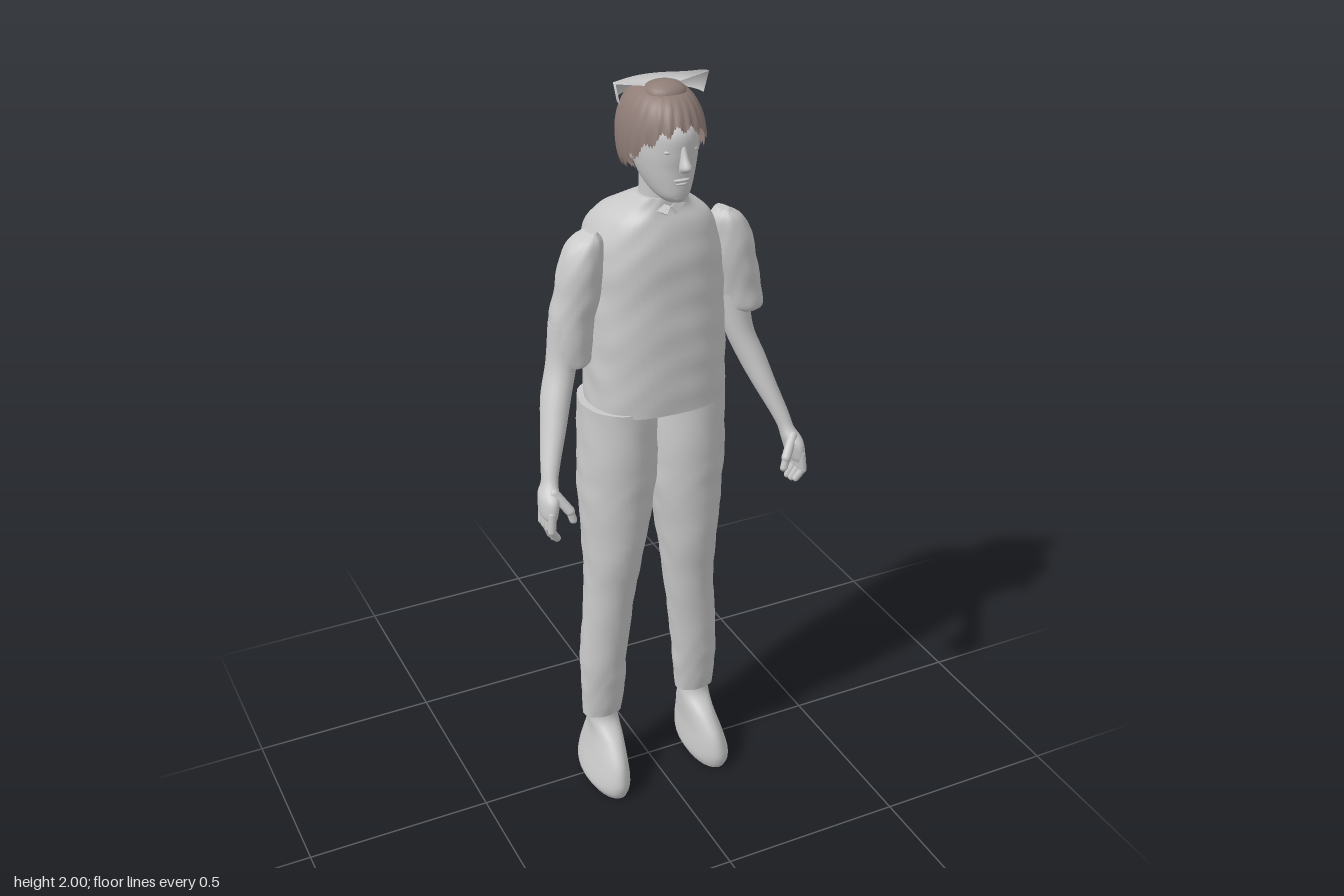
import * as THREE from 'three';

const grey = new THREE.MeshStandardMaterial({ color: 0xc8c8c8 });
grey.name = 'light grey';
const brown = new THREE.MeshStandardMaterial({ color: 0x8f7d77, side: THREE.DoubleSide });
brown.name = 'hair brown';
const greySheet = new THREE.MeshStandardMaterial({ color: 0xc8c8c8, side: THREE.DoubleSide });
greySheet.name = 'light grey sheet';

// Smooth body through horizontal rings [x, y, z, rx, rz], listed top to bottom
function loft(rings, { power = 2, wrinkle = 0, sides = 36, steps = 5 } = {}) {
  const centres = new THREE.CatmullRomCurve3(rings.map(r => new THREE.Vector3(r[0], r[1], r[2])), false, 'catmullrom', 0.5);
  const radii = new THREE.CatmullRomCurve3(rings.map(r => new THREE.Vector3(r[3], r[4], 0)), false, 'catmullrom', 0.5);
  const rows = (rings.length - 1) * steps;
  const pos = [], idx = [];
  const sp = v => Math.sign(v) * Math.abs(v) ** (2 / power);
  for (let i = 0; i <= rows; i++) {
    const c = centres.getPoint(i / rows), r = radii.getPoint(i / rows);
    for (let j = 0; j < sides; j++) {
      const a = j / sides * Math.PI * 2;
      const w = wrinkle * Math.sin(c.y * 55 + 2.5 * Math.sin(a * 3)) * Math.sin(a * 4 + c.y * 17);
      pos.push(c.x + sp(Math.cos(a)) * (r.x + w), c.y, c.z + sp(Math.sin(a)) * (r.y + w));
    }
  }
  for (let i = 0; i < rows; i++) for (let j = 0; j < sides; j++) {
    const k = (j + 1) % sides, a = i * sides + j, b = i * sides + k;
    idx.push(a, b, a + sides, b, b + sides, a + sides);
  }
  // End caps with their own vertices, so the rims stay crisp
  for (const row of [0, rows]) {
    const c = centres.getPoint(row / rows), base = pos.length / 3;
    for (let j = 0; j < sides; j++) {
      const o = (row * sides + j) * 3;
      pos.push(pos[o], pos[o + 1], pos[o + 2]);
    }
    pos.push(c.x, c.y, c.z);
    for (let j = 0; j < sides; j++) {
      const k = (j + 1) % sides;
      idx.push(base + sides, base + (row ? j : k), base + (row ? k : j));
    }
  }
  const g = new THREE.BufferGeometry();
  g.setAttribute('position', new THREE.Float32BufferAttribute(pos, 3));
  g.setIndex(idx);
  g.computeVertexNormals();
  return g;
}

function add(parent, name, geometry, material = grey) {
  const m = new THREE.Mesh(geometry, material);
  m.name = name;
  parent.add(m);
  return m;
}

function ball(parent, name, [x, y, z], [rx, ry, rz], material = grey) {
  const m = add(parent, name, new THREE.SphereGeometry(1, 20, 14), material);
  m.position.set(x, y, z);
  m.scale.set(rx, ry, rz);
}

// Capsule between two points
function finger(parent, name, a, b, r) {
  const A = new THREE.Vector3(...a), B = new THREE.Vector3(...b);
  const d = B.clone().sub(A);
  const m = add(parent, name, new THREE.CapsuleGeometry(r, d.length(), 4, 10));
  m.position.copy(A).add(B).multiplyScalar(0.5);
  m.quaternion.setFromUnitVectors(new THREE.Vector3(0, 1, 0), d.normalize());
}

function makeLeg(s) {
  const leg = new THREE.Group();
  leg.name = s > 0 ? 'leftLeg' : 'rightLeg';
  // [y, shift, distance from middle, rx, z, rz]
  const rows = [
    [1.17, .017, .097, .098, -.02, .12], [1, .014, .098, .103, -.015, .115],
    [.9, .01, .1, .1, -.01, .105], [.75, .005, .108, .083, 0, .09],
    [.6, 0, .118, .07, .003, .069], [.4, 0, .137, .065, 0, .06],
    [.3, 0, .14, .062, .002, .05], [.21, 0, .143, .056, .002, .038]];
  add(leg, 'trouserLeg', loft(rows.map(([y, c, d, rx, z, rz]) => [c + s * d, y, z, rx, rz]), { wrinkle: .002 }));
  const shoe = [
    [.143, .23, .002, .036, .033], [.142, .19, .002, .041, .046], [.142, .15, .012, .041, .085],
    [.148, .1, .024, .046, .115], [.153, .05, .028, .055, .128], [.155, .02, .032, .057, .122],
    [.154, 0, .045, .047, .1]];
  add(leg, 'shoe', loft(shoe.map(([x, ...r]) => [s * x, ...r])));
  return leg;
}

function makeArm(s) {
  const arm = new THREE.Group();
  arm.name = s > 0 ? 'leftArm' : 'rightArm';
  const end = s > 0 ? 1.37 : 1.31;
  const shift = s > 0 ? .024 : .013;
  const sleeve = [
    [.172, 1.645, .01, .012, .025], [.184, 1.62, .01, .04, .046], [.198, 1.57, .01, .054, .055],
    [.208, 1.5, .01, .058, .057], [.224, 1.43, .01, .057, .054], [.234, end + .015, .012, .054, .052],
    [.236, end, .012, .047, .045]];
  add(arm, 'sleeve', loft(sleeve.map(([x, ...r]) => [s * x + shift, ...r]), { wrinkle: .002 }));
  const fore = [
    [.232, 1.42, .01, .04, .042], [.245, 1.32, .016, .038, .043], [.272, 1.24, .04, .037, .044],
    [.295, 1.17, .073, .031, .038], [.32, 1.1, .11, .024, .029], [.332, 1.06, .13, .02, .028],
    [.342, 1.03, .147, .024, .044], [.348, .99, .155, .02, .041], [.346, .975, .155, .012, .034]];
  add(arm, 'forearmAndPalm', loft(fore.map(([x, ...r]) => [s * x, ...r]), { sides: 24 }));
  // Four fingers and the thumb
  for (let i = 0; i < 4; i++) {
    const z = .187 - i * .021, tip = .915 + Math.abs(i - 1.7) * .008;
    finger(arm, 'finger', [s * .35, 1, z], [s * .354, .955, z + .003], .0105);
    finger(arm, 'fingertip', [s * .354, .955, z + .003], [s * .338, tip, z - .004], .0095);
  }
  finger(arm, 'thumb', [s * .334, 1.045, .165], [s * .304, 1.0, .188], .0125);
  finger(arm, 'thumbTip', [s * .304, 1.0, .188], [s * .297, .975, .191], .01);
  return arm;
}

// Hair shell with a jagged hairline, low at the back and a fringe on the brow
function hairGeometry() {
  const g = new THREE.SphereGeometry(1, 96, 24);
  const p = g.attributes.position, uv = g.attributes.uv;
  for (let i = 0; i < p.count; i++) {
    const f = uv.getX(i) * Math.PI * 2, t = 1 - uv.getY(i);
    const front = Math.sin(f);
    const limit = front > 0 ? 2.1 - .9 * front ** 1.3 : 2.1 - .6 * front;
    const th = t * (limit + .08 * Math.sin(f * 17));
    const r = Math.max(0, Math.sin(th)) ** .6 * (1 + .025 * t * Math.sin(f * 24 + t * 5));
    p.setXYZ(i, .02 - .1 * r * Math.cos(f), 1.865 + .119 * Math.cos(th), .015 + (front > 0 ? .142 : .12) * r * front);
  }
  g.computeVertexNormals();
  return g;
}

// Flared half-ring over the crown, with raised corners
function crownGeometry() {
  const n = 32, pos = [], idx = [];
  for (let i = 0; i <= n; i++) {
    const a = i / n * Math.PI, c = Math.cos(a), s = Math.sin(a), e = c * c;
    pos.push(.02 + .045 * c, 1.992 - .006 * e, .035 - .023 * s);
    pos.push(.02 + .12 * c, 1.984 + .016 * e ** 3, .035 - .09 * s);
    pos.push(.02 + .108 * c, 1.95, .032 - .098 * s);
  }
  for (let i = 0; i < n; i++) for (let j = 0; j < 2; j++) {
    const a = i * 3 + j;
    idx.push(a, a + 1, a + 3, a + 1, a + 4, a + 3);
  }
  const g = new THREE.BufferGeometry();
  g.setAttribute('position', new THREE.Float32BufferAttribute(pos, 3));
  g.setIndex(idx);
  g.computeVertexNormals();
  return g;
}

function makeHead() {
  const head = new THREE.Group();
  head.name = 'head';
  const X = .018;
  add(head, 'skullAndFace', loft([
    [X, 1.96, .025, .03, .04], [X, 1.94, .025, .056, .075], [X, 1.9, .033, .072, .114],
    [X, 1.85, .04, .073, .11], [X, 1.81, .045, .068, .1], [X, 1.775, .055, .058, .088],
    [X, 1.745, .075, .043, .065], [X, 1.728, .09, .026, .04]], { power: 2.1 }));
  add(head, 'neck', loft([
    [X, 1.82, .015, .05, .055], [X, 1.75, .02, .048, .052], [X, 1.7, .015, .052, .055], [X, 1.66, 0, .07, .065]]));
  add(head, 'nose', loft([
    [X, 1.872, .143, .007, .008], [X, 1.845, .152, .009, .013], [X, 1.823, .159, .014, .02], [X, 1.81, .151, .012, .012]], { sides: 16 }));
  ball(head, 'upperLip', [X, 1.787, .138], [.021, .005, .011]);
  ball(head, 'lowerLip', [X, 1.777, .135], [.018, .005, .011]);
  ball(head, 'chin', [X, 1.747, .122], [.024, .02, .018]);
  for (const s of [-1, 1]) {
    ball(head, 'eye', [X + s * .03, 1.856, .132], [.013, .006, .009]);
    ball(head, 'ear', [X + s * .074, 1.845, .03], [.011, .032, .02]);
  }
  add(head, 'hair', hairGeometry(), brown);
  ball(head, 'topTuft', [.02, 1.972, .05], [.05, .026, .045], brown);
  add(head, 'crownBand', crownGeometry(), greySheet);
  return head;
}

export function createModel() {
  const model = new THREE.Group();
  model.name = 'standingFigure';
  // Shirt body, rounded at the upper back
  add(model, 'shirt', loft([
    [.02, 1.72, .02, .058, .052], [.02, 1.69, -.008, .085, .085], [.025, 1.655, -.033, .132, .122],
    [.027, 1.61, -.048, .158, .148], [.028, 1.56, -.047, .171, .152], [.028, 1.45, -.04, .178, .15],
    [.027, 1.3, -.028, .182, .146], [.026, 1.16, -.018, .184, .138]], { power: 2.4, wrinkle: .002, sides: 56, steps: 8 }));
  // Folded collar flaps meeting in a V
  for (const s of [-1, 1]) {
    const flap = add(model, 'collarFlap', new THREE.BoxGeometry(.05, .022, .008));
    flap.position.set(.02 + s * .025, 1.698, .069);
    flap.rotation.set(-.6, s * .4, s * .6);
  }
  model.add(makeHead());
  for (const s of [-1, 1]) model.add(makeArm(s), makeLeg(s));
  return model;
}
